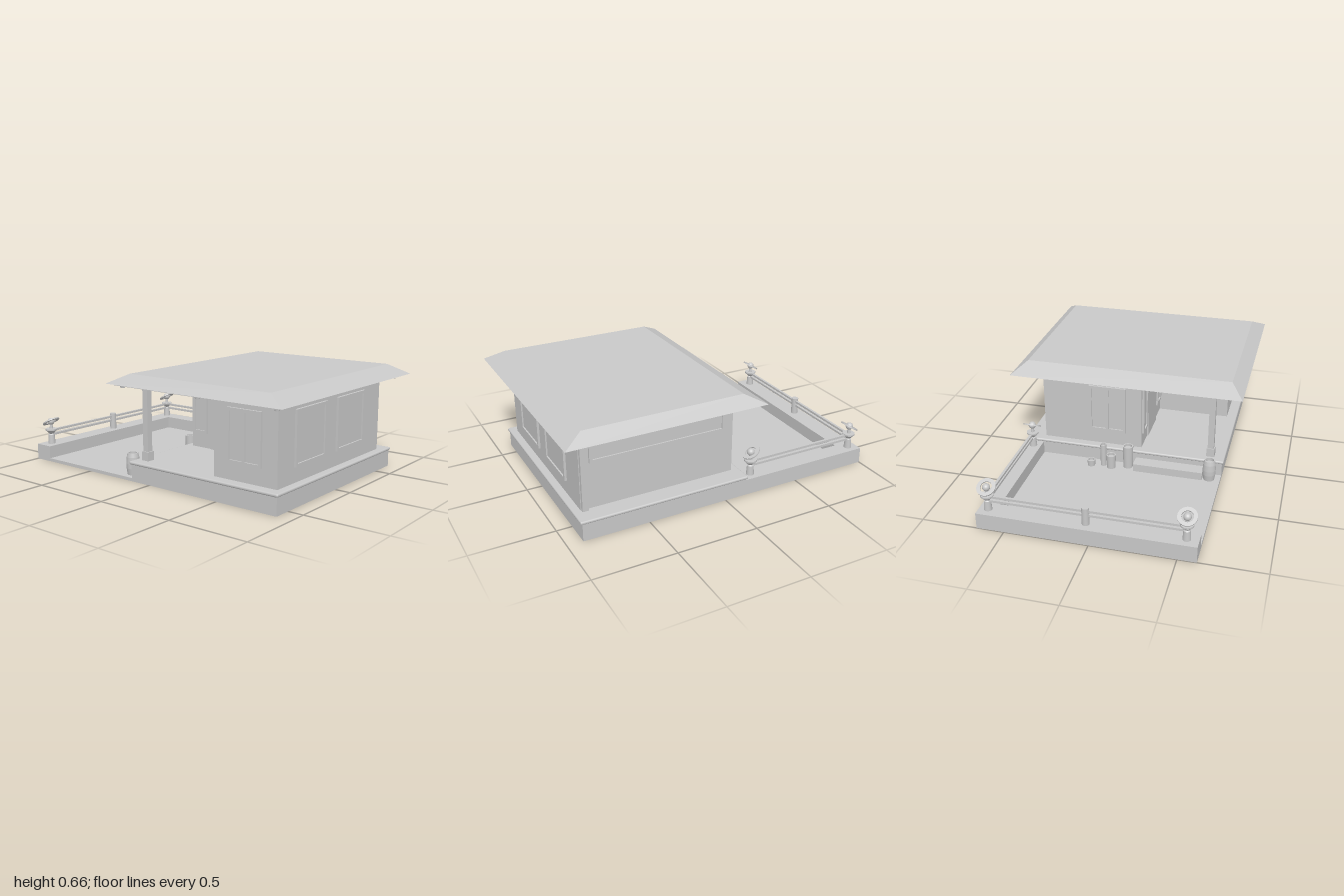
import * as THREE from 'three';
import { RoundedBoxGeometry } from 'three/addons/geometries/RoundedBoxGeometry.js';

export function createModel() {
  const model = new THREE.Group();
  const clay = new THREE.MeshStandardMaterial({ color: 0xc8c8c8 });
  clay.name = 'plain grey';

  function add(name, geometry, parent = model) {
    const mesh = new THREE.Mesh(geometry, clay);
    mesh.name = name;
    parent.add(mesh);
    return mesh;
  }
  // Box given by its limits on each axis
  function box(name, x0, x1, y0, y1, z0, z1, parent = model) {
    const mesh = add(name, new THREE.BoxGeometry(x1 - x0, y1 - y0, z1 - z0), parent);
    mesh.position.set((x0 + x1) / 2, (y0 + y1) / 2, (z0 + z1) / 2);
    return mesh;
  }
  // Turned part from [radius, height] pairs; each span gets its own vertices for crisp rims
  function turned(name, profile, x, y, z, parent = model) {
    const group = new THREE.Group();
    group.name = name;
    group.position.set(x, y, z);
    parent.add(group);
    for (let i = 0; i < profile.length - 1; i++) {
      const pts = [profile[i], profile[i + 1]].map(([r, h]) => new THREE.Vector2(r, h));
      add(name + 'Surface', new THREE.LatheGeometry(pts, 24), group);
    }
    return group;
  }

  // Yard floor, low walls and house plinth
  box('yardFloor', -1, -0.14, 0, 0.02, -0.665, 0.61);
  box('sideYardWall', -1, -0.88, 0.02, 0.1, -0.665, 0.61);
  box('backYardWall', -0.88, -0.14, 0.02, 0.1, -0.665, -0.56);
  box('plinth', -0.14, 0.905, 0, 0.107, -0.665, 0.61);
  const slab = add('porchSlab', new RoundedBoxGeometry(1.067, 0.02, 1.29, 3, 0.009));
  slab.position.set(0.382, 0.115, -0.025);
  box('porchStep', -0.225, -0.14, 0.02, 0.07, 0.06, 0.5);

  // House body: main block plus projecting front room
  box('mainWalls', -0.1, 0.445, 0.125, 0.59, -0.555, 0.085);
  box('frontRoomWalls', 0.445, 0.87, 0.125, 0.59, -0.555, 0.555);
  box('backPillar', 0.83, 0.866, 0.125, 0.59, -0.576, -0.555);

  // Porch column
  box('porchColumn', -0.1, -0.062, 0.125, 0.59, 0.51, 0.548);
  box('columnFoot', -0.106, -0.056, 0.125, 0.18, 0.504, 0.554);

  // Hipped roof with flat top
  const roof = new THREE.BoxGeometry(1.23, 0.06, 1.445);
  const p = roof.attributes.position;
  for (let i = 0; i < p.count; i++) {
    if (p.getY(i) > 0) p.setXYZ(i, p.getX(i) > 0 ? 0.495 : -0.495, 0.03, p.getZ(i) > 0 ? 0.6425 : -0.6425);
  }
  const roofFlat = roof.toNonIndexed();
  roofFlat.computeVertexNormals();
  add('roof', roofFlat).position.set(0.385, 0.63, -0.0025);
  box('soffit', -0.19, 0.955, 0.59, 0.6, -0.69, 0.69);

  // Small round lamps under the eaves
  for (const [x, z] of [[-0.16, 0.65], [0.405, 0.65], [0.925, 0.65], [-0.16, -0.645], [0.925, -0.645], [-0.055, 0.3]]) {
    const lamp = add('eavesLamp', new THREE.CylinderGeometry(0.016, 0.013, 0.016, 16));
    lamp.position.set(x, 0.582, z);
  }

  // Window: frame with one or more openings and recessed panes, facing +z before rotation
  function windowUnit(name, w, h, panes, x, y, z, turn) {
    const unit = new THREE.Group();
    unit.name = name;
    const shape = new THREE.Shape();
    const rect = (path, x0, y0, x1, y1) =>
      path.moveTo(x0, y0).lineTo(x1, y0).lineTo(x1, y1).lineTo(x0, y1).closePath();
    rect(shape, -w / 2, -h / 2, w / 2, h / 2);
    const border = 0.018;
    const paneWidth = (w - border * (panes + 1)) / panes;
    for (let i = 0; i < panes; i++) {
      const hole = new THREE.Path();
      const x0 = -w / 2 + border + i * (paneWidth + border);
      rect(hole, x0, -h / 2 + border, x0 + paneWidth, h / 2 - border);
      shape.holes.push(hole);
    }
    add('windowFrame', new THREE.ExtrudeGeometry(shape, { depth: 0.014, bevelEnabled: false }), unit);
    box('windowPane', -w / 2 + 0.01, w / 2 - 0.01, -h / 2 + 0.01, h / 2 - 0.01, 0, 0.005, unit);
    unit.position.set(x, y, z);
    unit.rotation.y = turn;
    model.add(unit);
  }
  const right = Math.PI / 2;
  windowUnit('frontWindow', 0.23, 0.31, 2, 0.655, 0.38, 0.555, 0);
  windowUnit('porchWindowRight', 0.11, 0.31, 1, -0.03, 0.375, 0.085, 0);
  windowUnit('porchWindowLeft', 0.11, 0.31, 1, 0.365, 0.375, 0.085, 0);
  for (const z of [0.2375, -0.2025]) windowUnit('sideWindow', 0.315, 0.32, 1, 0.87, 0.375, z, right);
  windowUnit('yardWindow', 0.24, 0.31, 2, -0.1, 0.375, -0.135, -right);
  windowUnit('backWindow', 0.85, 0.14, 1, 0.385, 0.48, -0.555, Math.PI);

  // Door and handle
  box('door', 0.055, 0.28, 0.125, 0.545, 0.085, 0.094);
  const handle = add('doorHandle', new THREE.CapsuleGeometry(0.006, 0.055, 4, 10));
  handle.position.set(0.257, 0.318, 0.108);

  // Fence posts: waisted foot, flared cup, tilted ring around a ball
  function fencePost(x, z, tilt) {
    const post = turned('fencePost',
      [[0.024, 0], [0.02, 0.06], [0.014, 0.066], [0.038, 0.09], [0.038, 0.1], [0, 0.1]], x, 0.1, z);
    add('finialStem', new THREE.CylinderGeometry(0.008, 0.012, 0.04, 12), post).position.y = 0.115;
    const finial = new THREE.Group();
    finial.name = 'ringFinial';
    finial.position.y = 0.148;
    finial.rotation.z = tilt;
    post.add(finial);
    add('finialBall', new THREE.SphereGeometry(0.023, 20, 14), finial);
    for (const span of [
      [[0.034, -0.004], [0.056, -0.004]], [[0.056, -0.004], [0.056, 0.004]],
      [[0.056, 0.004], [0.034, 0.004]], [[0.034, 0.004], [0.034, -0.004]],
    ]) {
      add('finialRing', new THREE.LatheGeometry(span.map(([r, h]) => new THREE.Vector2(r, h)), 32), finial);
    }
  }
  fencePost(-0.94, 0.54, 0.54);
  fencePost(-0.94, -0.61, 0.54);
  fencePost(-0.2, -0.61, -0.54);

  const midPost = add('middlePost', new THREE.CylinderGeometry(0.022, 0.022, 0.11, 20));
  midPost.position.set(-0.94, 0.155, -0.03);

  // Upper and lower fence rails
  for (const y of [0.188, 0.161]) {
    box('sideRail', -0.948, -0.932, y - 0.007, y + 0.007, -0.6, 0.53);
    box('backRail', -0.93, -0.21, y - 0.007, y + 0.007, -0.618, -0.602);
  }

  // Barrel by the step and pots along the house wall
  turned('barrel', [[0, 0], [0.034, 0], [0.04, 0.04], [0.041, 0.07], [0.038, 0.11], [0.032, 0.135],
    [0.026, 0.135], [0.026, 0.115], [0, 0.115]], -0.195, 0.02, 0.54);
  for (const [x, z, r, h] of [[-0.177, 0.017, 0.033, 0.15], [-0.21, -0.085, 0.03, 0.09],
    [-0.195, -0.14, 0.02, 0.15], [-0.215, -0.215, 0.026, 0.04]]) {
    turned('pot', [[0, 0], [r * 0.9, 0], [r, h], [r * 0.75, h], [r * 0.75, h - 0.015], [0, h - 0.015]], x, 0.02, z);
  }

  return model;
}
